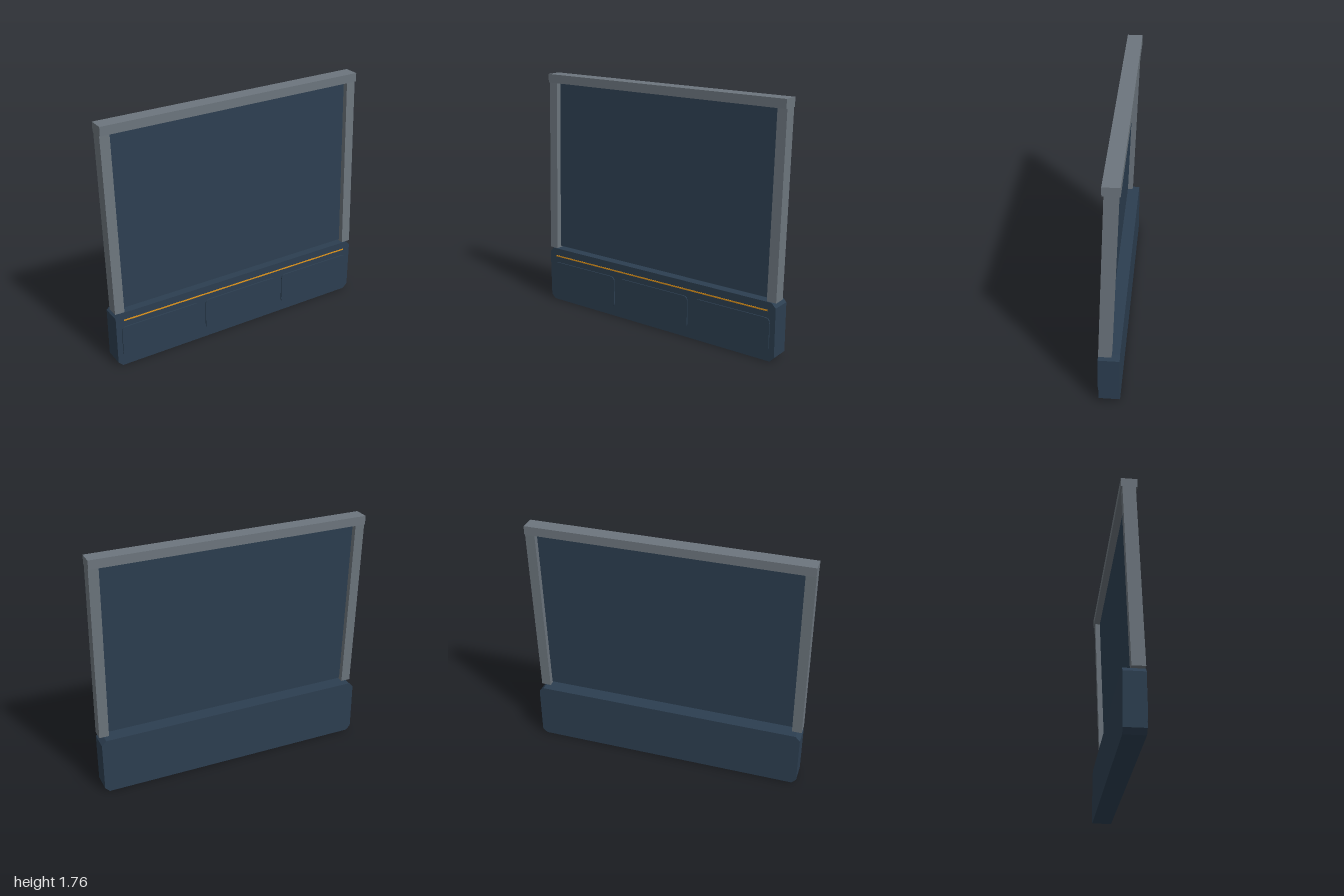
import * as THREE from 'three';

const mat = (name, color) => {
  const m = new THREE.MeshStandardMaterial({ color });
  m.name = name;
  return m;
};

export function createModel() {
  const group = new THREE.Group();
  const navy = mat('navy', 0x2c3e50);
  const grey = mat('steelGrey', 0x6c757d);
  const amber = mat('amber', 0xe0941a);

  const add = (name, geometry, material, x = 0, y = 0, z = 0) => {
    const mesh = new THREE.Mesh(geometry, material);
    mesh.name = name;
    mesh.position.set(x, y, z);
    group.add(mesh);
    return mesh;
  };
  const extrude = (shape, depth) =>
    new THREE.ExtrudeGeometry(shape, { depth, bevelEnabled: false, curveSegments: 5 });

  // Upright slab leaning back: sheared box following the post line
  const leaning = (w, h, d) => {
    const g = new THREE.BoxGeometry(w, h, d);
    const shear = new THREE.Matrix4().makeShear(0, 0, 0, -0.039, 0, 0);
    g.applyMatrix4(shear);
    return g;
  };
  const lean = (name, material, x, w, y0, y1, d) => {
    const g = new THREE.BoxGeometry(w, y1 - y0, d).translate(x, (y0 + y1) / 2, 0);
    const p = g.attributes.position;
    for (let i = 0; i < p.count; i++) p.setZ(i, p.getZ(i) + 0.025 - 0.039 * (p.getY(i) - 0.42));
    g.computeVertexNormals();
    add(name, g, material);
  };

  // Base with chamfered ends
  const c = 0.033, h = 0.42;
  const outline = new THREE.Shape([
    [-1 + c, 0], [1 - c, 0], [1, c], [1, h - c],
    [1 - c, h], [-1 + c, h], [-1, h - c], [-1, c],
  ].map(([x, y]) => new THREE.Vector2(x, y)));
  add('base', extrude(outline, 0.144), navy, 0, 0, -0.072);

  // Three raised rounded panels on the front
  const w = 0.3, t = 0.12, r = 0.035;
  const panel = new THREE.Shape();
  panel.moveTo(-w + r, -t);
  panel.lineTo(w - r, -t);
  panel.quadraticCurveTo(w, -t, w, -t + r);
  panel.lineTo(w, t - r);
  panel.quadraticCurveTo(w, t, w - r, t);
  panel.lineTo(-w + r, t);
  panel.quadraticCurveTo(-w, t, -w, t - r);
  panel.lineTo(-w, -t + r);
  panel.quadraticCurveTo(-w, -t, -w + r, -t);
  for (const x of [-0.66, 0, 0.66]) add('frontPanel', extrude(panel, 0.01), navy, x, 0.19, 0.07);

  // Accent line above the panels
  add('accentStripe', new THREE.BoxGeometry(1.88, 0.01, 0.004), amber, 0, 0.36, 0.073);

  // Leaning posts, screen and top rail
  for (const s of [-1, 1]) lean('sidePost', grey, s * 0.965, 0.07, 0.422, 1.755, 0.088);
  lean('screen', navy, 0, 1.87, 0.432, 1.72, 0.012);
  add('topRail', new THREE.BoxGeometry(2, 0.063, 0.11), grey, 0, 1.729, -0.024);

  return group;
}
